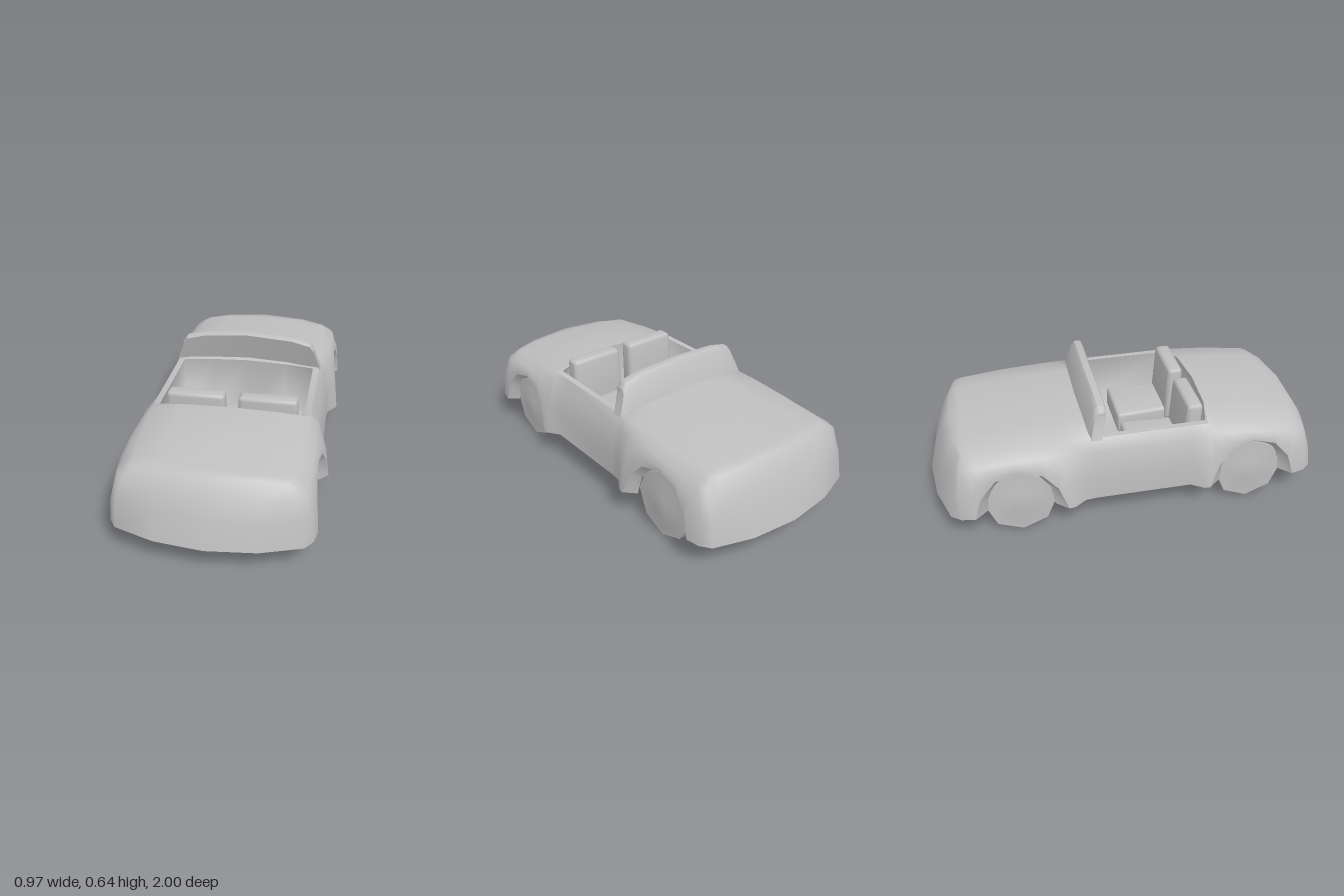
import * as THREE from 'three';
import { mergeGeometries, toCreasedNormals } from 'three/addons/utils/BufferGeometryUtils.js';
import { RoundedBoxGeometry } from 'three/addons/geometries/RoundedBoxGeometry.js';

// Piecewise linear lookup through [input, output] pairs
function ramp(pairs, v) {
  for (let i = 1; i < pairs.length; i++) {
    const [a, p] = pairs[i - 1], [b, q] = pairs[i];
    if (v <= b) return p + (q - p) * Math.max(0, (v - a) / (b - a));
  }
  return pairs[pairs.length - 1][1];
}

// Skin rows of [x, y, z] points; skip(i, j) leaves a cell open
function skin(rows, skip = () => false) {
  const out = [];
  for (let i = 0; i < rows.length - 1; i++) {
    for (let j = 0; j < rows[i].length - 1; j++) {
      if (skip(i, j)) continue;
      const a = rows[i][j], b = rows[i][j + 1], c = rows[i + 1][j + 1], d = rows[i + 1][j];
      out.push(...a, ...b, ...c, ...a, ...c, ...d);
    }
  }
  const g = new THREE.BufferGeometry();
  g.setAttribute('position', new THREE.Float32BufferAttribute(out, 3));
  return g;
}

const flip = ([x, y, z]) => [-x, y, z];
const mirrored = (half) => [...half, ...half.slice(0, -1).reverse().map(flip)];
const smooth = (parts, angle) => toCreasedNormals(mergeGeometries(parts), angle);

// Lower body edge at one end: distance along z, height, half width
const EDGE = [
  [0.865, 0.14, 0.453], [0.8, 0.14, 0.467], [0.765, 0.25, 0.458], [0.69, 0.335, 0.447], [0.58, 0.365, 0.443],
  [0.47, 0.335, 0.453], [0.4, 0.26, 0.468], [0.355, 0.14, 0.484], [0.325, 0.14, 0.48], [0.265, 0.14, 0.44],
  [0.21, 0.14, 0.435],
];
const OPENING = EDGE.slice(1, 8);
const CREST = {
  1: [[0.4, 0.495], [0.58, 0.488], [0.87, 0.435]],
  '-1': [[0.25, 0.495], [0.57, 0.48], [0.87, 0.455]],
};
const BELT = {
  1: [[0.355, 0.46], [0.58, 0.447], [0.8, 0.424], [0.865, 0.416]],
  '-1': [[0.21, 0.46], [0.57, 0.452], [0.8, 0.438], [0.865, 0.434]],
};

// Half cross-section from lower edge, over the shoulder, to the centreline
function section(end, [s, y0, x0]) {
  const deckS = Math.min(s, 0.8 + (s - 0.8) * 0.4);
  const crest = ramp(CREST[end], deckS), belt = ramp(BELT[end], s);
  const door = s < 0.3;
  const x2 = door ? 0.412 : ramp([[0.8, 0.42], [0.865, 0.407]], s), y2 = belt - (door ? 0.06 : 0.04);
  const bow = end > 0 ? ramp([[0.35, 0.035], [0.47, 0]], s) : ramp([[0.21, 0.03], [0.3, 0]], s);
  return [
    [x0, y0, end * s],
    [x0 + (x2 - x0) * 0.45 + 0.01, y0 + (y2 - y0) * 0.5, end * s],
    [x2, y2, end * (s + deckS) / 2],
    [ramp([[0.355, 0.38], [0.58, 0.37], [0.8, 0.355], [0.865, 0.347]], s), belt, end * deckS],
    [0.23, belt + (crest - belt) * 0.68, end * (deckS + bow * 0.7)],
    [0, crest, end * (deckS + bow)],
  ];
}

// Corner column plus the two columns closing an end, lower edge to deck
function endColumns(e) {
  const top = e > 0 ? 0 : 0.02;
  return [
    [[0.418, 0.14, e * 0.912], [0.41, 0.27, e * 0.892], [0.38, 0.365, e * 0.868], [0.333, 0.41 + top, e * 0.84]],
    [[0.23, 0.14, e * 0.975], [0.23, 0.27, e * 0.945], [0.23, 0.355, e * 0.91], [0.23, 0.425 + top, e * 0.86]],
    [[0, 0.14, e], [0, 0.27, e * 0.965], [0, 0.36, e * 0.925], [0, 0.435 + top, e * 0.875]],
  ];
}

function bodyGeometry() {
  const corner = (e) => {
    const [c, m, n] = endColumns(e);
    return [...c, m[3], n[3]];
  };
  const halves = [corner(-1), ...EDGE.map((p) => section(-1, p)),
    ...EDGE.slice(0, -1).reverse().map((p) => section(1, p)), corner(1)];
  const first = EDGE.length, last = EDGE.length + 3;
  const parts = [skin(halves.map(mirrored), (i, j) => i >= first && i < last && j >= 3 && j <= 6)];
  // Nose and tail
  for (const e of [-1, 1]) {
    const cols = endColumns(e);
    const order = e > 0 ? [3, 2, 1, 0] : [0, 1, 2, 3];
    parts.push(skin(order.map((k) => mirrored(cols.map((c) => c[k])))));
  }
  return smooth(parts, 1.15);
}

// Lip narrowing inward from a wheel opening to the tyre
function archGeometry(side, end) {
  const outer = OPENING.map(([s, y, x]) => [side * x, y, end * s]);
  const inner = OPENING.map(([s, y, x]) => {
    const a = Math.atan2(y - 0.172, s - 0.577);
    return [side * (x - 0.045), 0.172 + 0.162 * Math.sin(a), end * (0.577 + 0.162 * Math.cos(a))];
  });
  return smooth([skin(side * end > 0 ? [inner, outer] : [outer, inner])], 0.75);
}

// Curved windscreen panel with rounded upper edge
function windscreenGeometry() {
  // bottom x, bottom y, top x, top y, thickness
  const cols = [
    [0.389, 0.45, 0.35, 0.572, 0], [0.388, 0.45, 0.349, 0.575, 0.052], [0.345, 0.455, 0.328, 0.604, 0.056],
    [0.24, 0.465, 0.235, 0.626, 0.054], [0, 0.47, 0, 0.64, 0.052],
  ];
  const z = (x, y) => -0.2 + 0.03 * (x / 0.38) ** 2 + (y - 0.46) * 0.29;
  const row = (atTop, drop, depth) => mirrored(cols.map(([bx, by, tx, ty, t]) => {
    const x = atTop ? tx : bx, y = atTop ? ty - drop : by;
    return [x, y, z(x, y) - t * depth];
  }));
  return smooth([skin([row(false, 0, 1), row(true, 0.02, 1), row(true, 0.003, 0.8),
    row(true, 0, 0.5), row(true, 0.003, 0.2), row(true, 0.015, 0), row(false, 0, 0)])], 0.6);
}

// Cockpit rim, joined to the edge of the body, over a tub with a flat floor
function cockpitGeometries() {
  const cowl = section(-1, EDGE[EDGE.length - 1]).slice(3).reverse();
  const deck = section(1, OPENING[OPENING.length - 1]).slice(3);
  const inner = [[0, 0.47, -0.175], [0.2, 0.465, -0.17], [0.35, 0.46, -0.155],
    [0.35, 0.46, 0.35], [0.23, 0.482, 0.378], [0, 0.493, 0.388]];
  const floor = inner.map(([x, , z]) => [x * 1.02, 0.145, z < 0 ? z - 0.03 : z]);
  const rim = skin([inner, [...cowl, ...deck]].map(mirrored));
  const walls = skin([floor, inner].map(mirrored));
  const base = skin(floor.map((p) => [p, flip(p)]));
  return [smooth([rim], 0.6), smooth([walls, base], 1.7)];
}

function wheelGeometry() {
  const profile = [[0, 0.33], [0.115, 0.33], [0.13, 0.29], [0.172, 0.29], [0.172, 0.418],
    [0.115, 0.42], [0.04, 0.432], [0, 0.432]].map(([r, y]) => new THREE.Vector2(r, y));
  const g = new THREE.LatheGeometry(profile, 8);
  g.rotateZ(-Math.PI / 2);
  return toCreasedNormals(g, 0.85);
}

function makeSeat(material) {
  const seat = new THREE.Group();
  const cushion = new RoundedBoxGeometry(0.3, 0.12, 0.3, 2, 0.02);
  const back = new RoundedBoxGeometry(0.295, 0.3, 0.078, 2, 0.02);
  const p = cushion.attributes.position;
  for (let i = 0; i < p.count; i++) p.setX(i, p.getX(i) * (0.94 - p.getZ(i) * 0.4));
  const q = back.attributes.position;
  for (let i = 0; i < q.count; i++) {
    q.setZ(i, q.getZ(i) + q.getY(i) * 0.06);
    if (q.getY(i) > 0.12) q.setX(i, q.getX(i) * 0.96);
  }
  for (const [name, g, y, z] of [['seatCushion', cushion, 0.23, 0.145], ['seatBack', back, 0.375, 0.302]]) {
    g.computeVertexNormals();
    const m = new THREE.Mesh(toCreasedNormals(g, 0.9), material);
    m.name = name;
    m.position.set(0, y, z);
    seat.add(m);
  }
  return seat;
}

export function createModel() {
  const grey = new THREE.MeshStandardMaterial({ color: 0xbfbfbf, side: THREE.DoubleSide });
  grey.name = 'plain grey';
  const car = new THREE.Group();
  car.name = 'convertible';
  const add = (name, geometry) => {
    const mesh = new THREE.Mesh(geometry, grey);
    mesh.name = name;
    car.add(mesh);
    return mesh;
  };
  add('bodyShell', bodyGeometry());
  add('windscreen', windscreenGeometry());
  const [rim, tub] = cockpitGeometries();
  add('cockpitRim', rim);
  add('cockpitTub', tub);
  const wheel = wheelGeometry();
  for (const side of [-1, 1]) {
    const sideName = side > 0 ? 'Left' : 'Right';
    for (const end of [-1, 1]) {
      const name = (end > 0 ? 'back' : 'front') + sideName;
      add(name + 'WheelArch', archGeometry(side, end));
      const w = add(name + 'Wheel', wheel);
      w.position.set(0, 0.172, end * 0.577);
      if (side < 0) w.rotation.y = Math.PI;
    }
    const seat = makeSeat(grey);
    seat.name = 'seat' + sideName;
    seat.position.x = side * 0.175;
    car.add(seat);
  }
  return car;
}
